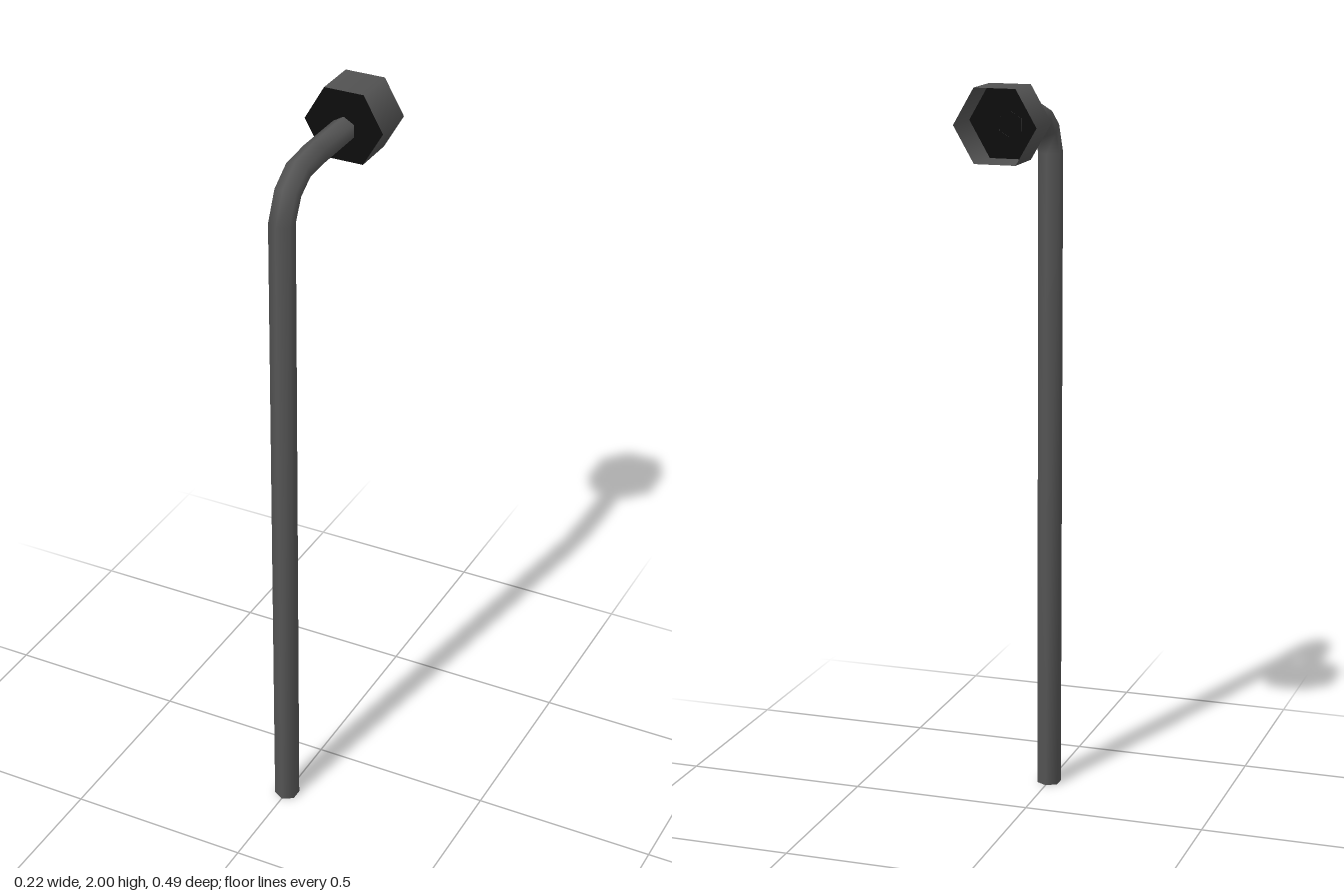
import * as THREE from 'three';

const SIDES = 6;
const grey = new THREE.MeshStandardMaterial({ color: 0x555555, side: THREE.DoubleSide });
const black = new THREE.MeshStandardMaterial({ color: 0x0d0d0d, side: THREE.DoubleSide });

function addPart(group, name, geometry, material) {
  const mesh = new THREE.Mesh(geometry, material);
  mesh.name = name;
  group.add(mesh);
  return mesh;
}

// Hexagonal tube swept through stations [z, y, lean in degrees] in the x = 0 plane
function sweepPipe(stations, radius) {
  const positions = [];
  const indices = [];
  stations.forEach(([z, y, lean], i) => {
    const a = THREE.MathUtils.degToRad(lean);
    for (let j = 0; j < SIDES; j++) {
      const t = (j / SIDES) * Math.PI * 2;
      const out = radius * Math.cos(t);
      positions.push(radius * Math.sin(t), y + out * Math.sin(a), z + out * Math.cos(a));
      if (i === 0) continue;
      const k = (j + 1) % SIDES;
      const lo = (i - 1) * SIDES;
      const hi = i * SIDES;
      indices.push(lo + j, lo + k, hi + k, lo + j, hi + k, hi + j);
    }
  });
  const geometry = new THREE.BufferGeometry();
  geometry.setAttribute('position', new THREE.Float32BufferAttribute(positions, 3));
  geometry.setIndex(indices);
  geometry.computeVertexNormals();
  return geometry;
}

export function createModel() {
  const group = new THREE.Group();
  group.name = 'hookedPipe';

  // Upright, bend and horizontal arm in one sweep
  const stations = [
    [0.21, 0, 0],
    [0.21, 1.785, 0],
    [0.178, 1.853, 36],
    [0.122, 1.89, 66],
    [0.035, 1.897, 90],
    [-0.126, 1.897, 90],
  ];
  addPart(group, 'pipe', sweepPipe(stations, 0.034), grey);

  // Cap under the foot of the pipe
  const cap = new THREE.CircleGeometry(0.034, SIDES, Math.PI / 2).rotateX(Math.PI / 2);
  addPart(group, 'pipeFoot', cap, grey).position.z = 0.21;

  // Thin hexagonal cup, open to the back
  const wall = new THREE.CylinderGeometry(0.11, 0.11, 0.122, SIDES, 1, true, Math.PI / 2).rotateX(Math.PI / 2);
  addPart(group, 'cupWall', wall, grey).position.set(0, 1.905, -0.186);

  // Dark plate closing the cup on the pipe side
  const plate = new THREE.CircleGeometry(0.11, SIDES);
  addPart(group, 'cupPlate', plate, black).position.set(0, 1.905, -0.125);

  return group;
}
